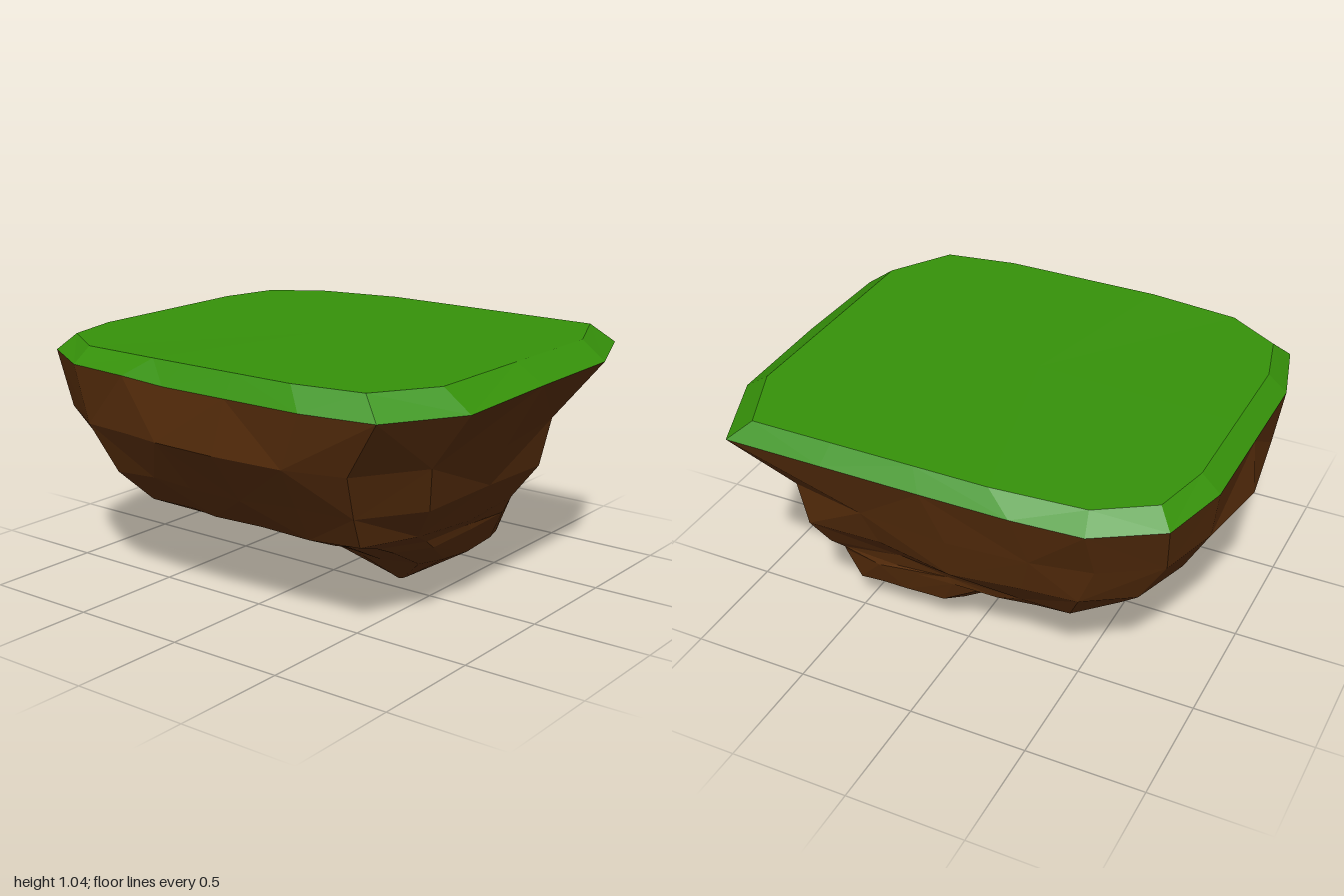
import * as THREE from 'three';

// Outline of the island rim as [x, z], running from the left-back corner round the back
const rim = [
  [-1, -0.39], [-0.92, -0.69], [-0.66, -0.85], [-0.37, -0.87], [0, -0.87], [0.42, -0.87],
  [0.84, -0.87], [0.99, -0.5], [1, 0], [1, 0.5], [0.81, 0.81], [0.5, 0.86],
  [0.15, 0.86], [-0.16, 0.86], [-0.37, 0.865], [-0.66, 0.84], [-0.92, 0.69], [-1, 0.39], [-1, 0],
];
// Inner edge of the grass, point for point with the rim
const lawn = [
  [-0.92, -0.38], [-0.86, -0.63], [-0.64, -0.77], [-0.26, -0.81], [0.05, -0.81], [0.4, -0.81],
  [0.75, -0.81], [0.88, -0.51], [0.88, 0], [0.88, 0.5], [0.72, 0.75], [0.42, 0.8],
  [0.15, 0.8], [-0.1, 0.8], [-0.26, 0.8], [-0.64, 0.77], [-0.86, 0.63], [-0.92, 0.39], [-0.92, 0],
];
// Rock levels: y, x from, x to, z from, z to, corner rounding, roughness
const levels = [
  [0.72, -1, 0.87, -0.79, 0.86, 0.35, 0.03],
  [0.52, -0.86, 0.77, -0.72, 0.72, 0.12, 0.06],
  [0.38, -0.73, 0.69, -0.59, 0.6, 0.05, 0.06],
  [0.32, -0.54, 0.65, -0.56, 0.45, 0.05, 0.04],
  [0.29, -0.23, 0.635, -0.55, 0.37, 0.1, 0.03],
  [0.155, 0.02, 0.555, -0.51, 0.11, 0.12, 0.03],
  [0, 0.26, 0.3, -0.25, -0.09, 0.5, 0],
];

function seeded(seed) {
  return () => (seed = (seed * 16807) % 2147483647) / 2147483647;
}

const rimRing = () => rim.map(([x, z]) => [x, x < -0.3 ? 0.97 : z > 0 ? 0.957 : 0.968, z]);

// Fits the rim outline into a level's box, rounds its corners and roughens it
function rockRing([y, x0, x1, z0, z1, round, rough], random) {
  return rim.map(([x, z]) => {
    const v = z / 0.87;
    const corner = THREE.MathUtils.lerp(1, Math.min(1, 1 / Math.hypot(x, v)), round);
    const s = corner * (1 + rough * (random() - 0.6));
    return [
      (x0 + x1) / 2 + x * s * (x1 - x0) / 2,
      y + rough * 0.6 * (random() - 0.5),
      (z0 + z1) / 2 + v * s * (z1 - z0) / 2,
    ];
  });
}

// Joins rings from top to bottom with triangles of alternating diagonals
function skin(rings, capTop, capBottom) {
  const pos = [];
  const tri = (...corners) => corners.forEach((c) => pos.push(...c));
  const n = rim.length;
  for (let r = 0; r < rings.length - 1; r++) {
    const up = rings[r], low = rings[r + 1];
    for (let i = 0; i < n; i++) {
      const j = (i + 1) % n;
      if ((i + r) % 2) {
        tri(low[i], up[i], up[j]);
        tri(low[i], up[j], low[j]);
      } else {
        tri(low[i], up[i], low[j]);
        tri(up[i], up[j], low[j]);
      }
    }
  }
  const cap = (ring, flip) => {
    const c = [0, 1, 2].map((k) => ring.reduce((sum, p) => sum + p[k], 0) / n);
    ring.forEach((p, i) => {
      const q = ring[(i + 1) % n];
      if (flip) tri(c, p, q);
      else tri(c, q, p);
    });
  };
  if (capTop) cap(rings[0], false);
  if (capBottom) cap(rings[rings.length - 1], true);
  const geometry = new THREE.BufferGeometry();
  geometry.setAttribute('position', new THREE.Float32BufferAttribute(pos, 3));
  geometry.computeVertexNormals();
  return geometry;
}

export function createModel() {
  const island = new THREE.Group();
  island.name = 'floatingIsland';

  const grass = new THREE.MeshStandardMaterial({ color: 0x36920a });
  grass.name = 'grassGreen';
  const earth = new THREE.MeshStandardMaterial({ color: 0x5a2f0c });
  earth.name = 'earthBrown';
  grass.flatShading = earth.flatShading = true;

  // Grass slab with a bevelled edge
  const top = lawn.map(([x, z]) => [x, x < -0.3 ? 1.036 : 1.044, z]);
  const grassTop = new THREE.Mesh(skin([top, rimRing()], true, false), grass);
  grassTop.name = 'grassTop';

  // Rocky underside tapering to an off-centre low point
  const random = seeded(41);
  const rings = [rimRing(), ...levels.map((level) => rockRing(level, random))];
  const rock = new THREE.Mesh(skin(rings, false, true), earth);
  rock.name = 'rockUnderside';

  island.add(grassTop, rock);
  return island;
}
